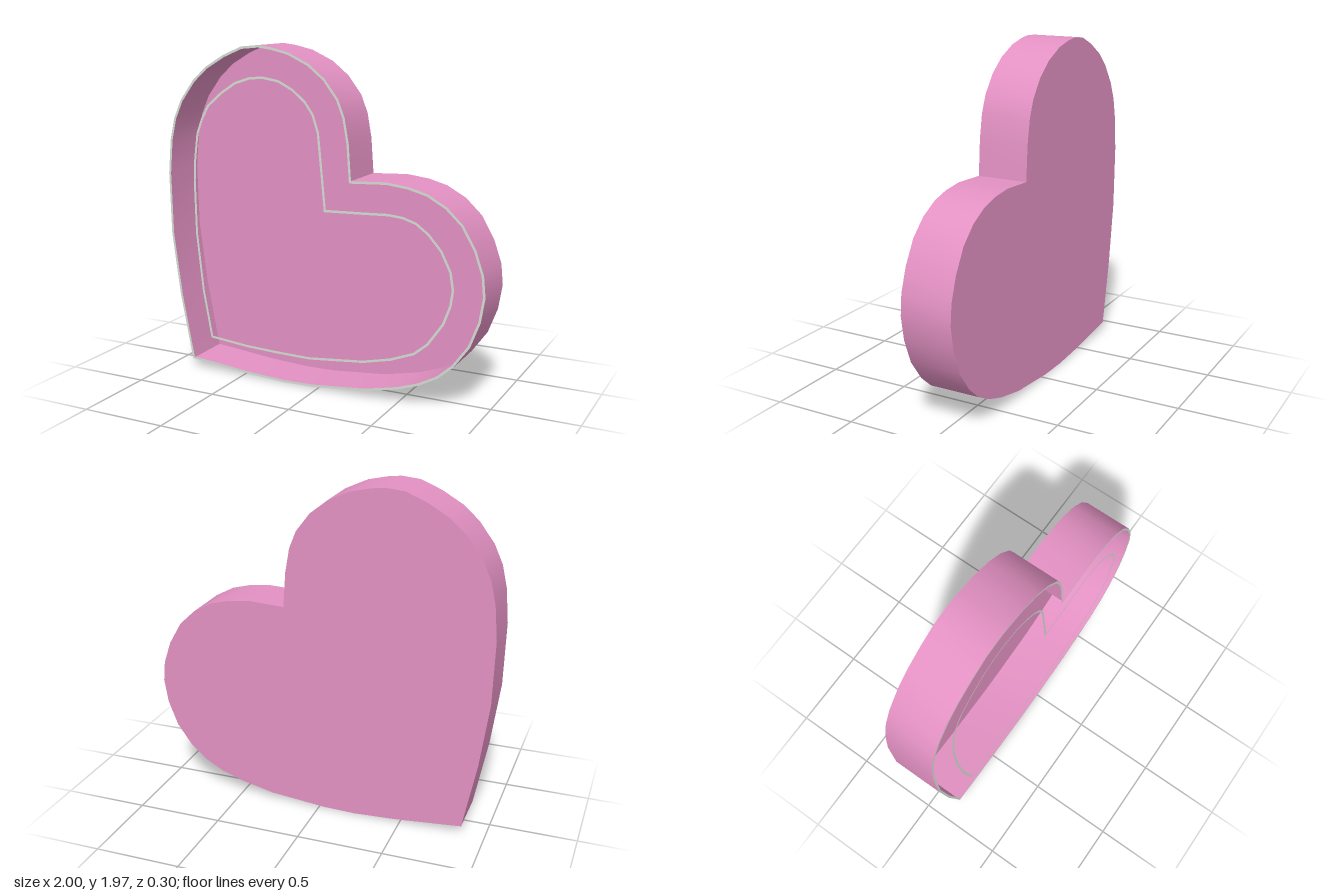
import * as THREE from 'three';

const DEPTH = 0.3, FRONT = DEPTH / 2, LINE = 0.014;

// Heart outlines, counter-clockwise from the pointed tip
const OUTER = [
  [-0.863, 0.05], [-0.47, 0.015], [-0.22, 0.003], [-0.03, 0.008], [0.3, 0.04], [0.5, 0.085], [0.63, 0.13],
  [0.74, 0.19], [0.83, 0.27], [0.92, 0.395], [0.975, 0.54], [0.997, 0.68], [0.985, 0.8], [0.94, 0.93],
  [0.865, 1.06], [0.77, 1.15], [0.66, 1.21], [0.55, 1.24], [0.42, 1.255], [0.21, 1.245],
  [0.195, 1.45], [0.17, 1.59], [0.13, 1.69], [0.05, 1.795], [-0.05, 1.875], [-0.18, 1.935], [-0.29, 1.96],
  [-0.37, 1.97], [-0.48, 1.96], [-0.6, 1.91], [-0.72, 1.84], [-0.81, 1.76], [-0.9, 1.64], [-0.95, 1.53],
  [-0.98, 1.4], [-0.998, 1.2], [-0.99, 0.83], [-0.94, 0.45],
].map(([x, y]) => new THREE.Vector2(x, y));
const NOTCH = 19; // index of the cleft between the lobes

const INNER = [
  [-0.725, 0.205], [-0.47, 0.182], [-0.27, 0.175], [-0.055, 0.172], [0.29, 0.207], [0.46, 0.248], [0.6, 0.303],
  [0.68, 0.37], [0.77, 0.5], [0.81, 0.61], [0.822, 0.7], [0.805, 0.8], [0.75, 0.91], [0.675, 0.995],
  [0.6, 1.05], [0.52, 1.075], [0.435, 1.083], [0.28, 1.077], [0.055, 1.07],
  [0.03, 1.33], [0.013, 1.5], [-0.02, 1.6], [-0.07, 1.67], [-0.15, 1.735], [-0.24, 1.78], [-0.345, 1.797],
  [-0.43, 1.79], [-0.525, 1.76], [-0.62, 1.7], [-0.715, 1.62], [-0.76, 1.54], [-0.795, 1.45],
  [-0.815, 1.3], [-0.823, 1.17], [-0.817, 0.85], [-0.78, 0.5],
].map(([x, y]) => new THREE.Vector2(x, y));

// Moves a closed outline inward by d with mitred corners
function inset(points, d) {
  const n = points.length;
  return points.map((p, i) => {
    const a = p.clone().sub(points[(i + n - 1) % n]).normalize();
    const b = points[(i + 1) % n].clone().sub(p).normalize();
    const na = new THREE.Vector2(-a.y, a.x), nb = new THREE.Vector2(-b.y, b.x);
    return na.clone().add(nb).multiplyScalar(d / (1 + na.dot(nb))).add(p);
  });
}

// Smooth wall following an open run of outline points
function wallGeometry(run) {
  const position = [], index = [];
  run.forEach((p, i) => {
    position.push(p.x, p.y, -FRONT, p.x, p.y, FRONT);
    if (i < run.length - 1) {
      const k = i * 2;
      index.push(k, k + 2, k + 3, k, k + 3, k + 1);
    }
  });
  const geometry = new THREE.BufferGeometry();
  geometry.setAttribute('position', new THREE.Float32BufferAttribute(position, 3));
  geometry.setIndex(index);
  geometry.computeVertexNormals();
  return geometry;
}

export function createModel() {
  const pink = new THREE.MeshStandardMaterial({ color: 0xe391c3, side: THREE.DoubleSide });
  pink.name = 'pink';
  const paleGrey = new THREE.MeshStandardMaterial({ color: 0xd3dcd3, side: THREE.DoubleSide });
  paleGrey.name = 'pale grey';

  const model = new THREE.Group();
  model.name = 'heartTray';
  const add = (name, geometry, material, z = 0) => {
    const mesh = new THREE.Mesh(geometry, material);
    mesh.name = name;
    mesh.position.z = z;
    model.add(mesh);
  };

  // Closed back and open-fronted walls, creased at the tip and the notch
  add('backPlate', new THREE.ShapeGeometry(new THREE.Shape(OUTER)), pink, -FRONT);
  add('lowerWall', wallGeometry(OUTER.slice(0, NOTCH + 1)), pink);
  add('upperWall', wallGeometry([...OUTER.slice(NOTCH), OUTER[0]]), pink);

  // Thin flat outlines in the plane of the open front
  for (const [name, outline] of [['outerRim', OUTER], ['innerOutline', INNER]]) {
    const shape = new THREE.Shape(outline);
    shape.holes.push(new THREE.Path(inset(outline, LINE)));
    add(name, new THREE.ShapeGeometry(shape), paleGrey, FRONT);
  }
  return model;
}
